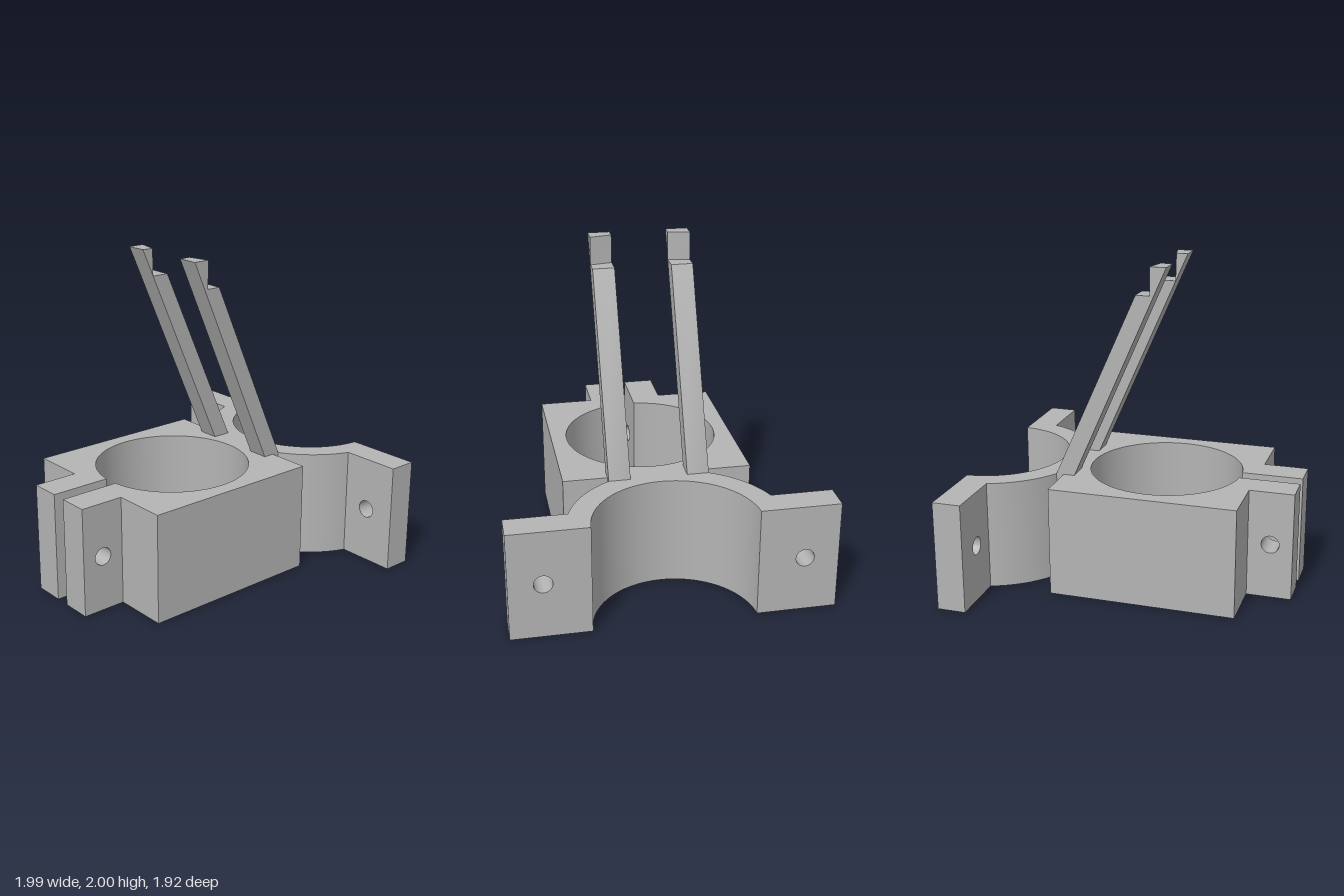
import * as THREE from 'three';
import { toCreasedNormals } from 'three/addons/utils/BufferGeometryUtils.js';

const HEIGHT = 0.68;
const HOLE_Y = 0.345;
const HOLE_R = 0.055;

function extrude(shape, depth) {
  return new THREE.ExtrudeGeometry(shape, { depth, bevelEnabled: false, curveSegments: 48 });
}

// Upright plate outline with a round bolt hole
function drilledPlate(x0, x1, holeX) {
  const shape = new THREE.Shape([
    new THREE.Vector2(x0, 0), new THREE.Vector2(x1, 0),
    new THREE.Vector2(x1, HEIGHT), new THREE.Vector2(x0, HEIGHT),
  ]);
  const hole = new THREE.Path();
  hole.absarc(holeX, HOLE_Y, HOLE_R, 0, Math.PI * 2, true);
  shape.holes.push(hole);
  return shape;
}

export function createModel() {
  const group = new THREE.Group();
  const grey = new THREE.MeshStandardMaterial({ color: 0xb4b4b4 });
  grey.name = 'grey plastic';

  function add(name, geometry) {
    const mesh = new THREE.Mesh(toCreasedNormals(geometry, 0.5), grey);
    mesh.name = name;
    group.add(mesh);
  }

  // Square clamp block with a round bore that opens into a slot
  const boreX = -0.15, boreR = 0.475, slot = 0.045, halfWidth = 0.572;
  const slotAngle = Math.asin(slot / boreR);
  const block = new THREE.Shape();
  block.moveTo(-0.725, -slot);
  block.lineTo(-0.725, -halfWidth);
  block.lineTo(0.425, -halfWidth);
  block.lineTo(0.425, halfWidth);
  block.lineTo(-0.725, halfWidth);
  block.lineTo(-0.725, slot);
  block.absarc(boreX, 0, boreR, Math.PI - slotAngle, -Math.PI + slotAngle, true);
  block.closePath();
  add('clampBlock', extrude(block, HEIGHT).rotateX(-Math.PI / 2));

  // Half-ring saddle
  const ringX = 1.015, outerR = 0.623, innerR = 0.485, endX = 0.99;
  const outerA = Math.acos((endX - ringX) / outerR);
  const innerA = Math.acos((endX - ringX) / innerR);
  const ring = new THREE.Shape();
  ring.absarc(ringX, 0, outerR, outerA, Math.PI * 2 - outerA, false);
  ring.absarc(ringX, 0, innerR, Math.PI * 2 - innerA, innerA, true);
  ring.closePath();
  add('halfRing', extrude(ring, HEIGHT).rotateX(-Math.PI / 2));

  // Arm outline: leaning bar with a stepped tip and a small foot
  const armOutline = new THREE.Shape([
    [-0.225, 2], [-0.15, 1.83], [0.355, HEIGHT], [0.425, HEIGHT], [0.425, 0.58],
    [0.472, 0.58], [0.472, HEIGHT], [-0.04, 1.83], [-0.125, 1.83], [-0.125, 2],
  ].map(([x, y]) => new THREE.Vector2(x, y)));

  for (const side of [1, -1]) {
    const label = side > 0 ? 'front' : 'back';

    // Clamp ears, drilled front to back
    const ear = extrude(drilledPlate(-1, -0.725, -0.862), 0.19);
    ear.translate(0, 0, side > 0 ? slot : -slot - 0.19);
    add(label + 'ClampEar', ear);

    // Ring flanges, drilled along x
    const edges = [-side * 0.55, -side * 0.962].sort((a, b) => a - b);
    const flange = extrude(drilledPlate(edges[0], edges[1], -side * 0.76), endX - 0.815);
    flange.rotateY(Math.PI / 2).translate(0.815, 0, 0);
    add(label + 'RingFlange', flange);

    // Arms; the step face is angled to follow the ring's centre
    const arm = extrude(armOutline, 0.132);
    arm.translate(0, 0, side > 0 ? 0.172 : -0.304);
    const p = arm.attributes.position;
    for (let i = 0; i < p.count; i++) {
      if (Math.abs(p.getX(i) + 0.125) < 0.001 && Math.abs(p.getZ(i)) < 0.2) {
        p.setX(i, p.getY(i) > 1.9 ? -0.153 : -0.149);
      }
    }
    arm.computeVertexNormals();
    add(label + 'Arm', arm);
  }

  group.position.z = -0.003;
  const model = new THREE.Group();
  model.name = 'pipeClampHolder';
  model.add(group);
  return model;
}
